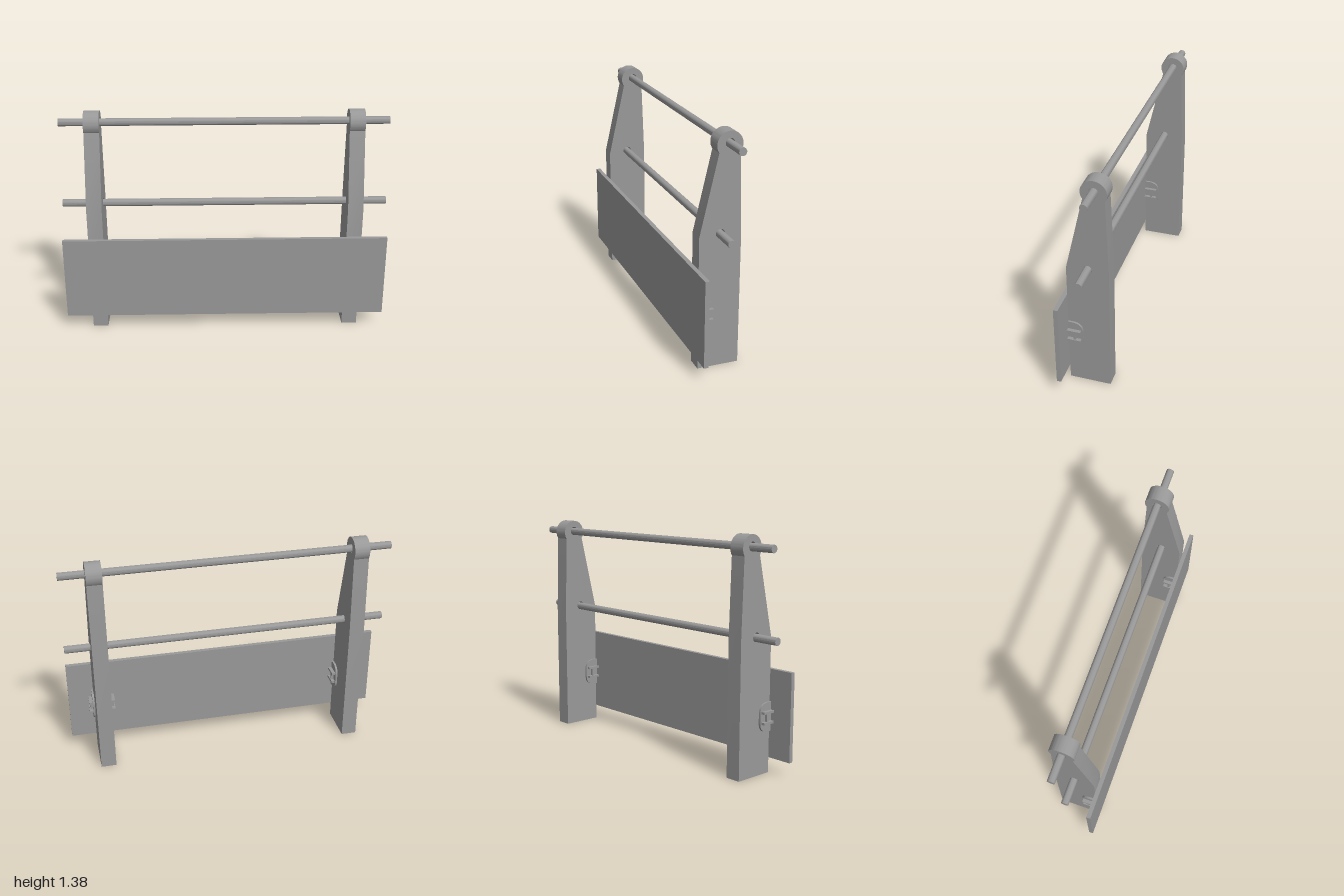
import * as THREE from 'three';
import { toCreasedNormals } from 'three/addons/utils/BufferGeometryUtils.js';

const grey = new THREE.MeshStandardMaterial({ color: 0x999999 });
grey.name = 'plain grey';

const RAILS = [
  { name: 'upperRail', y: 1.313, z: -0.058 },
  { name: 'lowerRail', y: 0.807, z: -0.012 },
];
const RAIL_RADIUS = 0.023;
const POST_X = 0.797;
const POST_WIDTH = 0.094;

function addMesh(parent, geometry, name, x = 0, y = 0, z = 0) {
  const mesh = new THREE.Mesh(geometry, grey);
  mesh.name = name;
  mesh.position.set(x, y, z);
  parent.add(mesh);
  return mesh;
}

// Side profile (drawn as z, y) extruded along x and centred on x = 0
function extrudeAcross(shape, width) {
  const geometry = new THREE.ExtrudeGeometry(shape, { depth: width, bevelEnabled: false, curveSegments: 20 });
  geometry.translate(0, 0, -width / 2);
  geometry.rotateY(-Math.PI / 2);
  return toCreasedNormals(geometry, 0.5);
}

// Tapered upright with a round head and two rail holes
function postGeometry() {
  const shape = new THREE.Shape();
  shape.moveTo(-0.136, 0);
  shape.lineTo(0.112, 0);
  shape.lineTo(0.112, 0.8);
  shape.absarc(-0.058, 1.308, 0.075, -0.59, Math.PI + 0.59, false);
  shape.lineTo(-0.136, 0.8);
  shape.closePath();
  for (const rail of RAILS) {
    const hole = new THREE.Path();
    hole.absarc(rail.z, rail.y + 0.003, RAIL_RADIUS + 0.004, 0, Math.PI * 2, true);
    shape.holes.push(hole);
  }
  return extrudeAcross(shape, POST_WIDTH);
}

// Rounded clip plate with two ribs and a web, projecting along +x
function createClip() {
  const clip = new THREE.Group();
  const shape = new THREE.Shape();
  shape.moveTo(0.112, 0.252);
  shape.lineTo(0.112, 0.425);
  shape.lineTo(0.078, 0.425);
  shape.quadraticCurveTo(0.022, 0.42, 0.022, 0.365);
  shape.lineTo(0.022, 0.312);
  shape.quadraticCurveTo(0.022, 0.257, 0.078, 0.252);
  shape.closePath();
  addMesh(clip, extrudeAcross(shape, 0.012), 'clipPlate', 0.006);
  for (const y of [0.308, 0.37]) {
    addMesh(clip, new THREE.BoxGeometry(0.034, 0.014, 0.08), 'clipRib', 0.017, y, 0.072);
  }
  addMesh(clip, new THREE.BoxGeometry(0.028, 0.05, 0.014), 'clipWeb', 0.014, 0.339, 0.068);
  return clip;
}

export function createModel() {
  const model = new THREE.Group();
  model.name = 'guardRailWithBoard';

  // Posts, each with a clip on both sides
  const post = postGeometry();
  for (const side of [-1, 1]) {
    const assembly = new THREE.Group();
    assembly.name = side > 0 ? 'leftPost' : 'rightPost';
    assembly.position.x = side * POST_X;
    addMesh(assembly, post, 'upright');
    for (const face of [-1, 1]) {
      const clip = createClip();
      clip.name = face > 0 ? 'leftClip' : 'rightClip';
      clip.position.x = face * POST_WIDTH / 2;
      if (face < 0) clip.scale.x = -1;
      assembly.add(clip);
    }
    model.add(assembly);
  }

  // Rails running through the posts
  for (const rail of RAILS) {
    const geometry = new THREE.CylinderGeometry(RAIL_RADIUS, RAIL_RADIUS, 2, 16);
    geometry.rotateZ(Math.PI / 2);
    addMesh(model, toCreasedNormals(geometry, 0.5), rail.name, 0, rail.y, rail.z);
  }

  // Front board
  addMesh(model, new THREE.BoxGeometry(2, 0.523, 0.026), 'frontBoard', 0, 0.3525, 0.125);

  return model;
}
